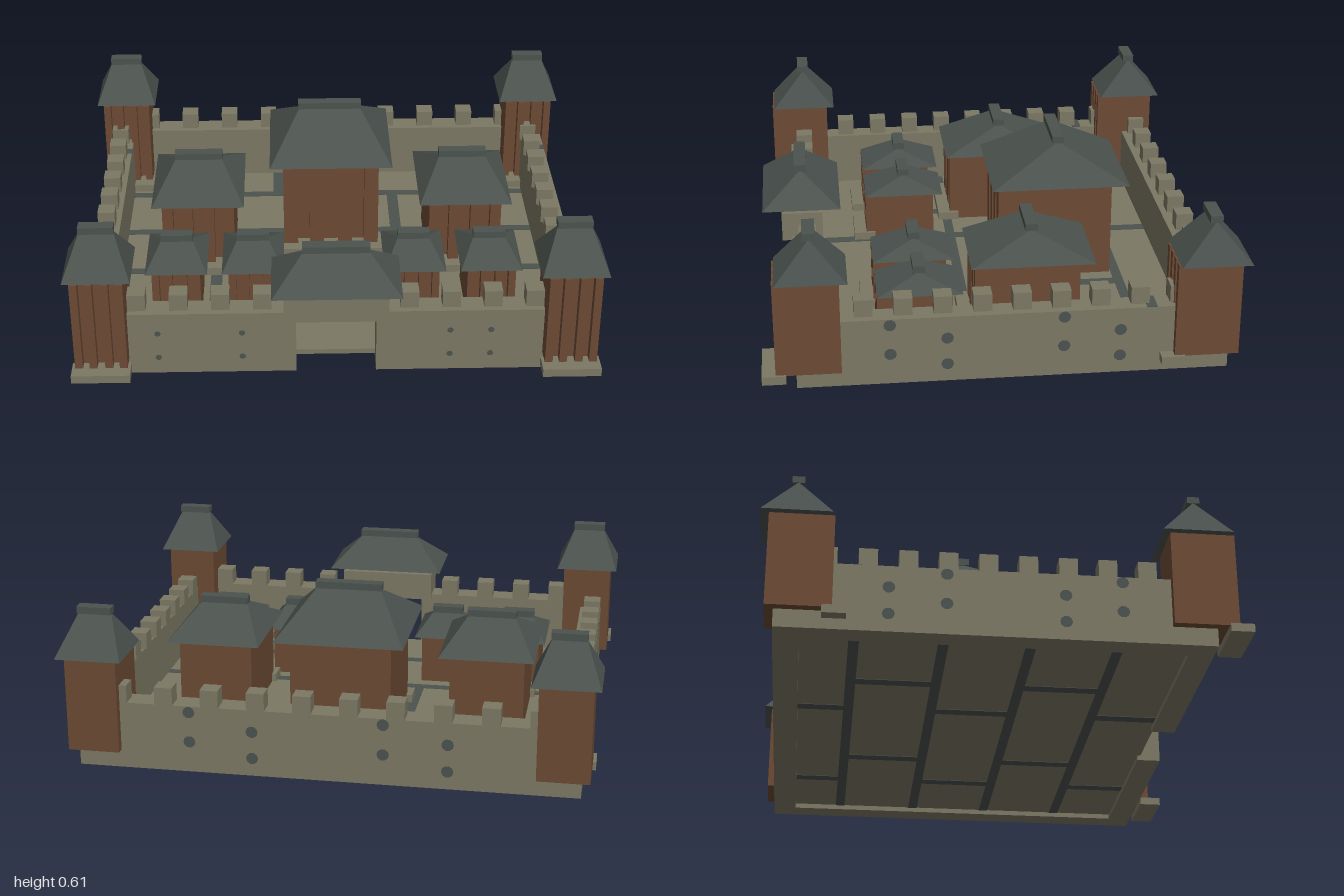
import * as THREE from 'three';

const mat = (name, color) => Object.assign(new THREE.MeshStandardMaterial({ color }), { name });

export function createModel() {
  const root = new THREE.Group();
  root.name = 'walledFort';
  const stone = mat('stone', 0x7c7864);
  const slate = mat('slate', 0x4b524e);
  const wood = mat('wood', 0x6c4a34);

  // Box given by its min and max corners
  function box(parent, name, material, x0, x1, y0, y1, z0, z1) {
    const mesh = new THREE.Mesh(new THREE.BoxGeometry(x1 - x0, y1 - y0, z1 - z0), material);
    mesh.position.set((x0 + x1) / 2, (y0 + y1) / 2, (z0 + z1) / 2);
    mesh.name = name;
    parent.add(mesh);
    return mesh;
  }

  // Hipped roof: a box whose top is drawn in to a ridge, plus a ridge cap
  function roof(parent, hx, hz, eave, rise, cx, cz) {
    let geo = new THREE.BoxGeometry(hx * 2, rise, hz * 2);
    const p = geo.attributes.position;
    for (let i = 0; i < p.count; i++) {
      if (p.getY(i) > 0) {
        p.setX(i, p.getX(i) * 0.5);
        p.setZ(i, p.getZ(i) * 0.03);
      }
    }
    geo = geo.toNonIndexed();
    geo.computeVertexNormals();
    const mesh = new THREE.Mesh(geo, slate);
    mesh.name = 'roof';
    mesh.position.set(cx, eave + rise / 2, cz);
    parent.add(mesh);
    const top = eave + rise, capX = hx * 0.52;
    box(parent, 'ridgeCap', slate, cx - capX, cx + capX, top, top + 0.027, cz - 0.023, cz + 0.023);
  }

  // Timber building: body, row of front posts, stone step and roof
  function building(name, cx, cz, hx, hz, base, eave) {
    const g = new THREE.Group();
    g.name = name;
    root.add(g);
    const front = cz + hz;
    box(g, 'body', wood, cx - hx, cx + hx, base, eave, cz - hz, front);
    const pw = hx * 0.15;
    for (const f of [-0.85, -0.3, 0.3, 0.85]) {
      const px = cx + f * hx;
      box(g, 'post', wood, px - pw, px + pw, 0.07, eave, front, front + 0.037);
    }
    box(g, 'step', stone, cx - hx * 1.12, cx + hx * 1.12, 0.042, 0.074, front, front + 0.087);
    roof(g, hx * 1.28, hz * 1.3, eave, (eave - 0.07) * 0.4, cx, cz);
  }

  for (const s of [-1, 1]) {
    building('frontTower', s * 0.875, 0.697, 0.0975, 0.1, 0.07, 0.437);
    building('backTower', s * 0.875, -0.755, 0.0975, 0.1, 0.07, 0.437);
    building('sideHall', s * 0.54, -0.13, 0.145, 0.18, 0.035, 0.337);
    building('innerHouse', s * 0.315, 0.295, 0.094, 0.123, 0.035, 0.241);
    building('outerHouse', s * 0.6125, 0.295, 0.094, 0.123, 0.035, 0.241);
  }
  building('keep', 0, -0.302, 0.195, 0.209, 0.035, 0.437);

  // Courtyard floor with paving joints showing on both faces
  const floor = new THREE.Group();
  floor.name = 'floor';
  root.add(floor);
  box(floor, 'slab', stone, -0.86, 0.86, 0.02, 0.04, -0.74, 0.68);
  const joint = (x0, x1, z0, z1) => box(floor, 'joint', slate, x0, x1, 0.018, 0.042, z0, z1);
  const rows = [-0.73, -0.535, -0.215, 0.1, 0.415, 0.67];
  rows.slice(1, -1).forEach((z) => joint(-0.853, 0.853, z - 0.019, z + 0.019));
  for (let i = 0; i < 5; i++) {
    for (const x of i % 2 ? [-0.47, 0.28] : [-0.22, 0.53]) {
      joint(x - 0.023, x + 0.023, rows[i], rows[i + 1]);
    }
  }

  // Curtain walls
  const H = 0.26;
  box(root, 'backWall', stone, -0.94, 0.94, 0, H, -0.823, -0.73);
  for (const s of [-1, 1]) {
    const [a, b] = [s * 0.853, s * 0.94].sort((m, n) => m - n);
    box(root, 'sideWall', stone, a, b, 0, H, -0.73, 0.667);
    box(root, 'wallTopJoint', slate, a, b, H, H + 0.002, -0.554, -0.516);
    const [c, d] = [s * 0.15, s * 0.94].sort((m, n) => m - n);
    box(root, 'frontWall', stone, c, d, 0, H, 0.667, 0.76);
  }

  // Battlements
  const r = 0.034;
  const merlon = (x, z) => box(root, 'merlon', stone, x - r, x + r, H, 0.327, z - r, z + r);
  for (const s of [-1, 1]) {
    for (let i = 0; i < 4; i++) merlon(s * (0.275 + i * 0.156), 0.701);
    for (let i = 0; i < 5; i++) merlon(s * (0.087 + i * 0.174), -0.789);
  }
  for (let i = 0; i < 9; i++) {
    const z = 0.513 - i * 0.144;
    merlon(-0.906, z);
    merlon(0.877, z);
  }

  // Gatehouse over the front opening
  const gate = new THREE.Group();
  gate.name = 'gatehouse';
  root.add(gate);
  box(gate, 'lintel', stone, -0.195, 0.195, 0.243, 0.357, 0.64, 0.8);
  roof(gate, 0.24, 0.152, 0.387, 0.118, 0, 0.721);

  // Dark round stones set in the wall faces
  function spot(x, y, z, turn, radius) {
    const m = new THREE.Mesh(new THREE.CircleGeometry(radius, 10), slate);
    m.position.set(x, y, z);
    m.rotation.y = turn;
    m.name = 'darkStone';
    root.add(m);
  }
  const marks = [[0.42, 0.237], [0.42, 0.12], [0.213, 0.175], [0.213, 0.07],
    [-0.213, 0.237], [-0.213, 0.12], [-0.42, 0.175], [-0.42, 0.07]];
  for (const [u, y] of marks) {
    spot(0.942, y, u, Math.PI / 2, 0.023);
    spot(-0.942, y, u, -Math.PI / 2, 0.023);
    spot(u * 1.15 + 0.03, y, -0.825, Math.PI, 0.023);
  }
  for (const x of [-0.667, -0.352, 0.427, 0.58]) {
    for (const y of [0.175, 0.07]) spot(x, y, 0.762, 0, 0.012);
  }
  return root;
}
